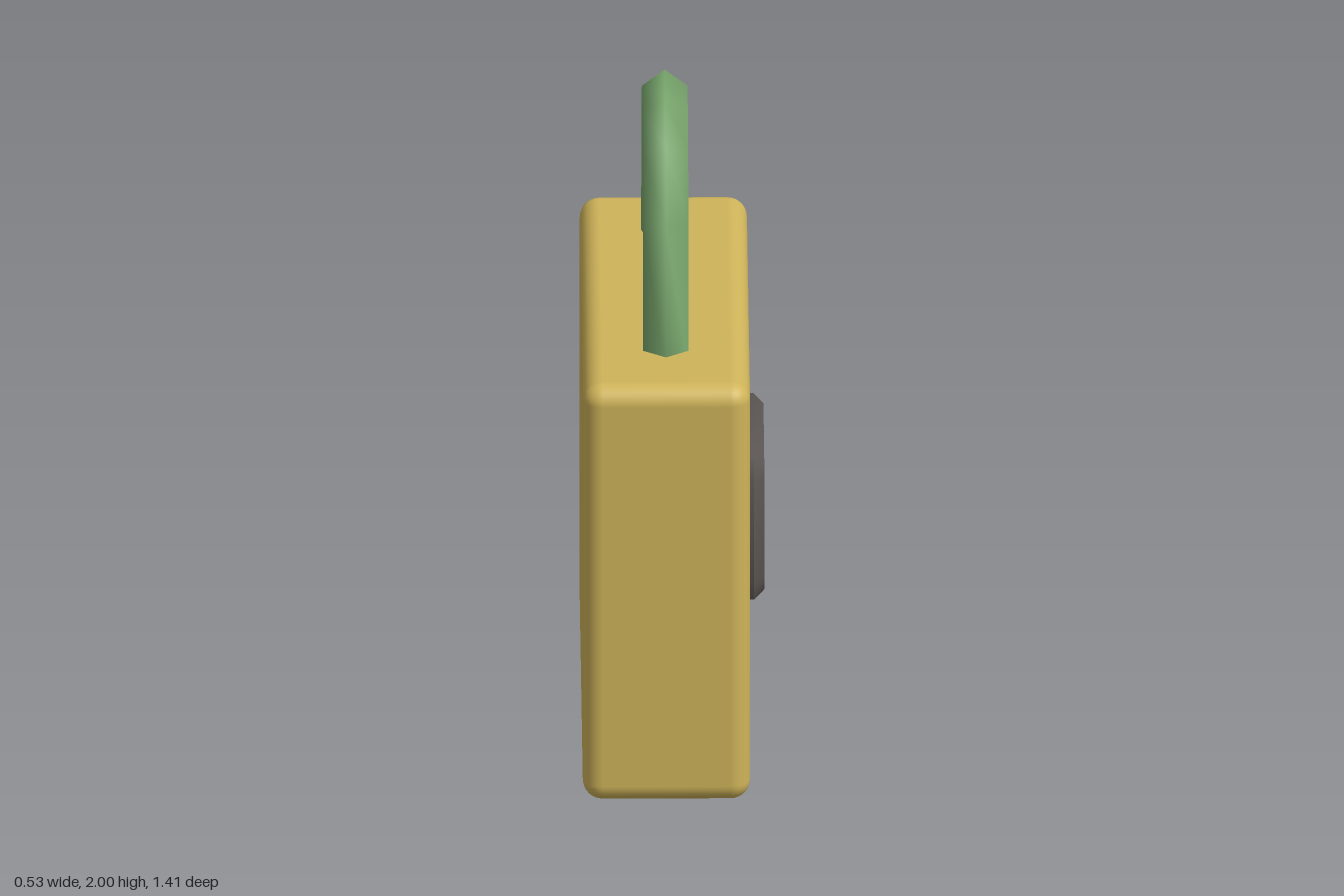
import * as THREE from 'three';
import { RoundedBoxGeometry } from 'three/addons/geometries/RoundedBoxGeometry.js';
import { toCreasedNormals } from 'three/addons/utils/BufferGeometryUtils.js';

function part(name, geometry, color) {
  const mesh = new THREE.Mesh(geometry, new THREE.MeshStandardMaterial({ color }));
  mesh.name = name;
  return mesh;
}

// Five-sided bent bar: each ring is centred on the path, one corner pointing outward
function shackleGeometry() {
  const sides = 5, radius = 0.07, centreX = -0.0225;
  // [outer z, outer y, inner z, inner y] from one foot to the crown
  const half = [
    [0.487, 1.29, 0.363, 1.29],
    [0.37, 1.715, 0.255, 1.67],
    [0.26, 1.915, 0.17, 1.835],
    [0.1, 2.0, 0.065, 1.88],
  ];
  const path = [...half, ...half.map(([a, b, c, d]) => [-a, b, -c, d]).reverse()];
  const inner = Math.cos(Math.PI / sides);
  const positions = [], index = [];
  path.forEach(([oz, oy, iz, iy], i) => {
    const dz = (oz - iz) / (1 + inner), dy = (oy - iy) / (1 + inner);
    for (let j = 0; j < sides; j++) {
      const a = (j / sides) * Math.PI * 2, c = Math.cos(a) - 1;
      positions.push(centreX + radius * Math.sin(a), oy + dy * c, oz + dz * c);
      if (i === path.length - 1) continue;
      const p = i * sides + j, q = i * sides + ((j + 1) % sides);
      index.push(p, q, p + sides, q, q + sides, p + sides);
    }
  });
  // End caps
  const last = (path.length - 1) * sides;
  for (let j = 1; j < sides - 1; j++) {
    index.push(0, j + 1, j, last, last + j, last + j + 1);
  }
  const g = new THREE.BufferGeometry();
  g.setAttribute('position', new THREE.Float32BufferAttribute(positions, 3));
  g.setIndex(index);
  g.computeVertexNormals();
  return g;
}

// Bevelled square plate with two-facet corners, facing +x
function plateGeometry() {
  const h = 0.255, r = 0.09, k = h - r, bevel = 0.03;
  const shape = new THREE.Shape();
  [[k, k], [-k, k], [-k, -k], [k, -k]].forEach(([x, y], i) => {
    shape.absarc(x, y, r, i * Math.PI / 2, (i + 1) * Math.PI / 2);
  });
  const g = new THREE.ExtrudeGeometry(shape, {
    depth: 0.06, curveSegments: 1, bevelSegments: 1,
    bevelThickness: bevel, bevelSize: bevel, bevelOffset: -bevel,
  });
  g.rotateY(Math.PI / 2);
  return toCreasedNormals(g, 0.7);
}

export function createModel() {
  const model = new THREE.Group();
  model.name = 'padlock';

  const body = part('body', new RoundedBoxGeometry(0.49, 1.335, 1.406, 4, 0.058), 0xcfb45a);
  body.position.set(-0.0225, 0.6675, 0);

  const shackle = part('shackle', shackleGeometry(), 0x7aa86e);

  const plate = part('keyPlate', plateGeometry(), 0x5a5552);
  plate.position.set(0.267 - 0.09, 0.672, 0);

  model.add(body, shackle, plate);
  return model;
}
